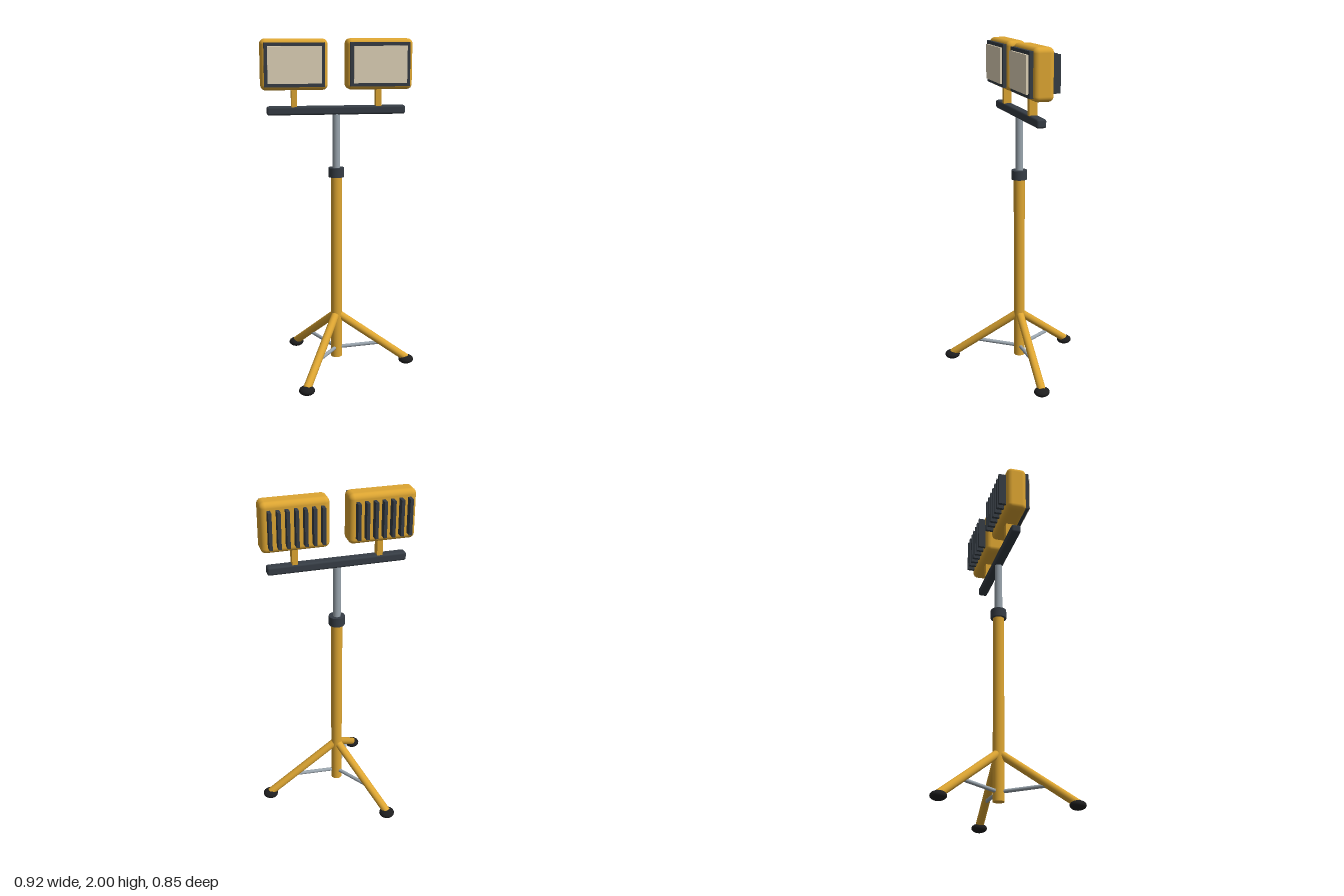
import * as THREE from 'three';
import { RoundedBoxGeometry } from 'three/addons/geometries/RoundedBoxGeometry.js';

const material = (name, color) => {
  const m = new THREE.MeshStandardMaterial({ color });
  m.name = name;
  return m;
};

export function createModel() {
  const yellow = material('yellow paint', 0xdea632);
  const dark = material('dark grey', 0x363d45);
  const steel = material('steel', 0x9aa5ae);
  const rubber = material('black rubber', 0x1e1e1f);
  const glass = material('warm glass', 0xe2d5ba);

  const model = new THREE.Group();
  model.name = 'workLight';
  const mastX = -0.025;

  const add = (parent, name, geometry, mat, x = 0, y = 0, z = 0) => {
    const mesh = new THREE.Mesh(geometry, mat);
    mesh.name = name;
    mesh.position.set(x, y, z);
    parent.add(mesh);
    return mesh;
  };
  const upright = (name, r, y0, y1, mat) =>
    add(model, name, new THREE.CylinderGeometry(r, r, y1 - y0, 24), mat, mastX, (y0 + y1) / 2, 0);

  // Round bar between two points
  const rod = (parent, name, a, b, r, mat) => {
    const dir = b.clone().sub(a);
    const mesh = add(parent, name, new THREE.CylinderGeometry(r, r, dir.length(), 16), mat);
    mesh.position.copy(a).lerp(b, 0.5);
    mesh.quaternion.setFromUnitVectors(new THREE.Vector3(0, 1, 0), dir.normalize());
  };

  // Telescopic mast
  upright('outerMast', 0.033, 0.075, 1.21, yellow);
  upright('clampCollar', 0.047, 1.2, 1.255, dark);
  upright('innerMast', 0.023, 1.25, 1.58, steel);

  // Tripod: leg, brace and foot repeated at 120 degrees
  for (let i = 0; i < 3; i++) {
    const leg = new THREE.Group();
    leg.name = 'tripodLeg' + (i + 1);
    leg.position.x = mastX;
    leg.rotation.y = (i * Math.PI * 2) / 3;
    model.add(leg);
    rod(leg, 'legTube', new THREE.Vector3(0.018, 0.342, 0), new THREE.Vector3(0.437, 0.037, 0), 0.024, yellow);
    rod(leg, 'legBrace', new THREE.Vector3(0.02, 0.132, 0), new THREE.Vector3(0.27, 0.147, 0), 0.011, steel);
    const foot = add(leg, 'foot', new THREE.SphereGeometry(0.046, 24, 14), rubber, 0.438, 0.027, 0);
    foot.scale.y = 0.58;
  }

  // Crossbar
  add(model, 'crossbar', new RoundedBoxGeometry(0.805, 0.05, 0.056, 2, 0.012), dark, mastX, 1.593, -0.001);

  // Two floodlights
  for (const side of [-1, 1]) {
    const lamp = new THREE.Group();
    lamp.name = side < 0 ? 'rightLamp' : 'leftLamp';
    lamp.position.set(mastX + side * 0.245, 1.856, -0.003);
    model.add(lamp);
    add(lamp, 'lampPost', new THREE.BoxGeometry(0.033, 0.13, 0.047), yellow, 0, -0.19, 0.003);
    add(lamp, 'housing', new RoundedBoxGeometry(0.384, 0.288, 0.118, 4, 0.03), yellow);
    add(lamp, 'bezel', new THREE.BoxGeometry(0.344, 0.248, 0.03), dark, 0, 0, 0.063);
    add(lamp, 'lens', new THREE.BoxGeometry(0.306, 0.208, 0.014), glass, 0, 0, 0.083);
    // Cooling fins on the back
    for (let i = -3; i <= 3; i++) {
      add(lamp, 'coolingFin', new THREE.BoxGeometry(0.018, 0.208, 0.055), dark, i * 0.049, 0, -0.0755);
    }
  }
  return model;
}
